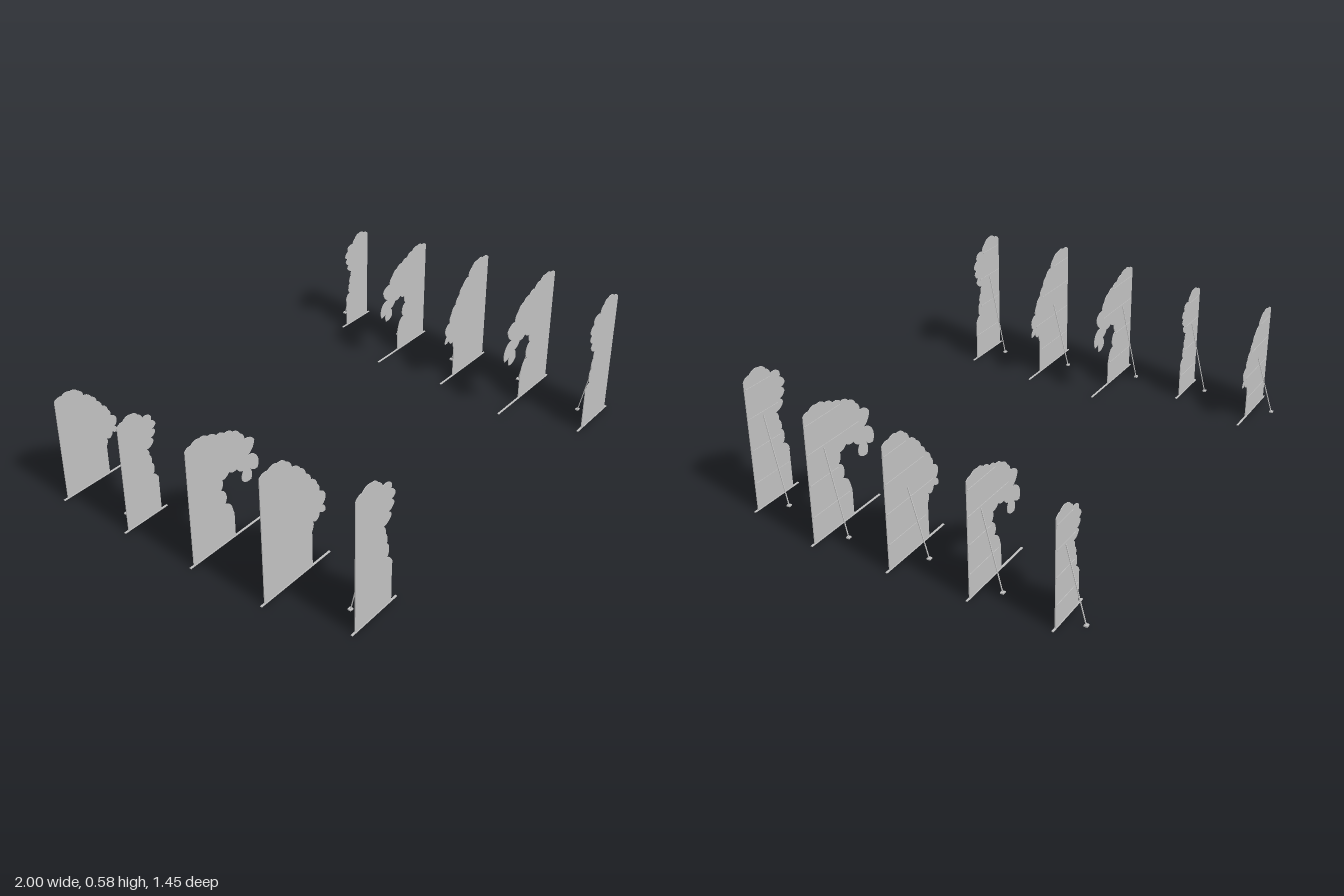
import * as THREE from 'three';

// Outlines in units of the flat's height: u runs inward from the outer edge, v runs up.
// brace = [u, v] of the strut, battens = [v, length] of the rear rails.
const TYPES = {
  slim: {
    edge: [[0, 0.935], [0.06, 0.965], [0.15, 0.985], [0.21, 0.95], [0.25, 0.9], [0.33, 0.885], [0.33, 0.84],
      [0.375, 0.79], [0.33, 0.765], [0.365, 0.73], [0.31, 0.69], [0.34, 0.655], [0.265, 0.61], [0.285, 0.55],
      [0.3, 0.47], [0.32, 0.42], [0.3, 0.36], [0.345, 0.33], [0.355, 0.28], [0.355, 0]],
    brace: [0.145, 0.65], battens: [[0.2, 0.35], [0.44, 0.29], [0.67, 0.3], [0.88, 0.25]], reach: 0.38,
  },
  arch: {
    edge: [[0, 0.95], [0.06, 0.97], [0.14, 0.985], [0.22, 0.96], [0.3, 0.925], [0.38, 0.9], [0.46, 0.87],
      [0.53, 0.82], [0.57, 0.75], [0.67, 0.7], [0.59, 0.6], [0.685, 0.56], [0.69, 0.45], [0.61, 0.49],
      [0.62, 0.39], [0.53, 0.42], [0.55, 0.5], [0.48, 0.55], [0.4, 0.57], [0.33, 0.54], [0.31, 0.46],
      [0.36, 0.4], [0.34, 0.33], [0.41, 0.27], [0.43, 0.2], [0.43, 0]],
    brace: [0.175, 0.65], battens: [[0.2, 0.41], [0.44, 0.31], [0.67, 0.55], [0.88, 0.38]], reach: 0.695,
  },
  bushy: {
    edge: [[0, 0.96], [0.08, 0.98], [0.17, 0.985], [0.25, 0.95], [0.3, 0.88], [0.38, 0.83], [0.43, 0.76],
      [0.48, 0.69], [0.54, 0.62], [0.56, 0.55], [0.62, 0.5], [0.59, 0.43], [0.62, 0.37], [0.56, 0.39],
      [0.53, 0.34], [0.49, 0.36], [0.48, 0.28], [0.48, 0]],
    brace: [0.25, 0.54], battens: [[0.2, 0.46], [0.44, 0.56], [0.67, 0.46], [0.88, 0.27]], reach: 0.63,
  },
};

// Rows from front to back: depth, height, outer edge and the type on each side
const ROWS = [
  { z: 0.72, h: 0.59, outer: 0.905, left: 'slim', right: 'slim' },
  { z: 0.38, h: 0.56, outer: 0.982, left: 'arch', right: 'bushy' },
  { z: 0.04, h: 0.53, outer: 0.982, left: 'bushy', right: 'arch' },
  { z: -0.3, h: 0.497, outer: 0.982, left: 'arch', right: 'slim' },
  { z: -0.64, h: 0.465, outer: 0.982, left: 'slim', right: 'bushy' },
];

const THICK = 0.003;

// Panel silhouette with every foliage segment swollen into a leafy lobe
function panelShape(edge, h, X) {
  const shape = new THREE.Shape();
  shape.moveTo(X(0), 0);
  shape.lineTo(X(0), edge[0][1] * h);
  for (let i = 1; i < edge.length; i++) {
    const [u0, v0] = edge[i - 1], [u1, v1] = edge[i];
    if (v1 < 0.25) {
      shape.lineTo(X(u1 * h), v1 * h);
      continue;
    }
    const cu = (u0 + u1) / 2 - (v1 - v0) * 0.3;
    const cv = (v0 + v1) / 2 + (u1 - u0) * 0.3;
    shape.quadraticCurveTo(X(cu * h), cv * h, X(u1 * h), v1 * h);
  }
  shape.closePath();
  return shape;
}

export function createModel() {
  const model = new THREE.Group();
  model.name = 'stageWings';
  const grey = new THREE.MeshStandardMaterial({ color: 0xc0c0c0 });
  grey.name = 'plainGrey';

  function add(parent, name, geometry, x, y, z) {
    const mesh = new THREE.Mesh(geometry, grey);
    mesh.name = name;
    mesh.position.set(x, y, z);
    parent.add(mesh);
    return mesh;
  }

  function buildFlat({ z, h, outer }, typeName, side) {
    const type = TYPES[typeName];
    const X = (d) => side * (outer - d);
    const flat = new THREE.Group();
    flat.name = (side > 0 ? 'left' : 'right') + 'WingFlat';
    flat.position.z = z;
    model.add(flat);

    // Cut-out panel
    const panel = new THREE.ExtrudeGeometry(panelShape(type.edge, h, X),
      { depth: THICK, bevelEnabled: false, curveSegments: 5 });
    add(flat, 'panel', panel, 0, 0, -THICK / 2);

    // Floor rail, a little longer than the panel
    const reach = type.reach * h;
    add(flat, 'floorRail', new THREE.BoxGeometry(reach + 0.036, 0.003, 0.008), X(reach / 2), 0.0015, 0);

    // Rear battens
    for (const [v, len] of type.battens) {
      add(flat, 'batten', new THREE.BoxGeometry(len * h - 0.01, 0.004, 0.002),
        X(len * h / 2), v * h, -THICK / 2 - 0.001);
    }

    // Sloping brace and its foot weight
    const bx = X(type.brace[0] * h);
    const top = new THREE.Vector3(bx, type.brace[1] * h, -THICK / 2);
    const foot = new THREE.Vector3(bx, 0.004, -0.083);
    const mid = top.clone().add(foot).multiplyScalar(0.5);
    const brace = add(flat, 'brace', new THREE.BoxGeometry(0.004, top.distanceTo(foot), 0.003), mid.x, mid.y, mid.z);
    brace.rotation.x = Math.atan2(top.z - foot.z, top.y - foot.y);
    add(flat, 'footWeight', new THREE.BoxGeometry(0.016, 0.006, 0.014), bx, 0.003, -0.084);
  }

  for (const row of ROWS) {
    buildFlat(row, row.left, 1);
    buildFlat(row, row.right, -1);
  }
  return model;
}
